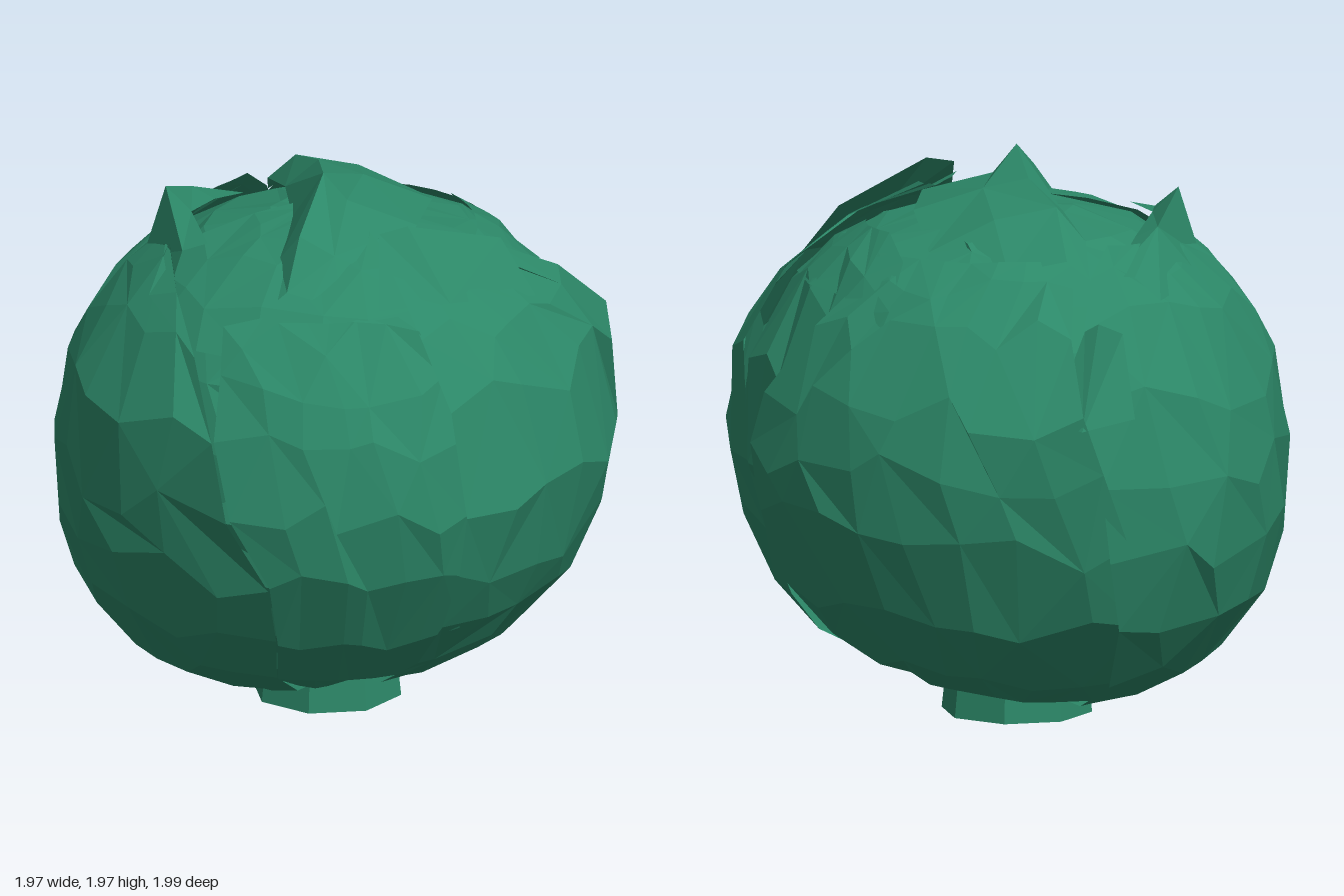
import * as THREE from 'three';

const material = new THREE.MeshStandardMaterial({ color: 0x2c8868, flatShading: true, side: THREE.DoubleSide });

// repeatable bumpiness
let seed = 7;
const rand = () => (seed = (seed * 16807) % 2147483647) / 2147483647;

// point on the lopsided head; azimuth runs from +z towards +x, both angles in degrees
function headPoint(azimuth, elevation, lift) {
  const a = azimuth * Math.PI / 180, e = elevation * Math.PI / 180;
  const s = Math.sin(e), c = Math.cos(e);
  const flat = (s < 0 ? 0.14 : 0.07) * Math.pow(Math.abs(s), 6);
  const tuck = 0.13 * (Math.cos(a - 1.22) + 0.25) * Math.max(0, -s) * c; // underside pulled in on the left
  const bulge = 0.04 * Math.max(0, -Math.cos(a - Math.PI / 4)) ** 4 * c * c; // fuller back right
  const r = 0.962 - flat - tuck + bulge - 0.015 * Math.cos(a) * c + lift;
  return new THREE.Vector3(r * c * Math.sin(a), 0.93 + r * s, r * c * Math.cos(a));
}

// skin a grid of points, rows running upwards and columns running towards +azimuth
function sheet(name, rows) {
  const cols = rows[0].length, index = [];
  for (let i = 0; i < rows.length - 1; i++) {
    for (let j = 0; j < cols - 1; j++) {
      const a = i * cols + j, b = a + 1, c = a + cols, d = c + 1;
      if ((i + j) % 2) index.push(a, b, d, a, d, c);
      else index.push(a, b, c, b, d, c);
    }
  }
  const geometry = new THREE.BufferGeometry().setFromPoints(rows.flat());
  geometry.setIndex(index);
  geometry.computeVertexNormals();
  const mesh = new THREE.Mesh(geometry, material);
  mesh.name = name;
  return mesh;
}

// wrapped leaf; each row is [elevation, azimuth start, azimuth end, start lift, end lift]
function leaf(name, rows, base = 0, cols = 7) {
  return sheet(name, rows.map(([el, a0, a1, l0, l1], i) => {
    const row = [];
    for (let j = 0; j < cols; j++) {
      const u = j / (cols - 1), inner = j > 0 && j < cols - 1 && i > 0 && i < rows.length - 1;
      const lift = base + l0 * (1 - u) ** 3 + l1 * u ** 3 + rand() * 0.014;
      const slide = inner ? (rand() - 0.5) * 7 : 0, rise = inner ? (rand() - 0.5) * 10 : 0;
      row.push(headPoint(a0 + (a1 - a0) * u + slide, el + rise, lift));
    }
    return row;
  }));
}

const points = (list) => list.map((p) => new THREE.Vector3(...p));

export function createModel() {
  const group = new THREE.Group();

  // tight inner head
  const core = [];
  for (let i = 0; i <= 12; i++) {
    const row = [];
    for (let j = 0; j < 18; j++) {
      row.push(headPoint(j * 20 + (i % 2) * 10, -90 + i * 15, -0.035 + (i % 12 ? rand() * 0.02 : 0)));
    }
    row.push(row[0].clone());
    core.push(row);
  }
  group.add(sheet('innerHead', core));

  // large outer leaves
  group.add(leaf('frontLeaf', [
    [-80, -10, 50, 0, 0], [-65, -6, 52, 0, 0], [-48, -5, 50, 0, 0], [-30, 0, 48, 0.01, 0],
    [-13, 0, 45, 0.01, 0], [2, -8, 43, 0.01, 0], [18, -13, 43, 0.01, 0], [32, -15, 42, 0.01, 0],
    [42, -18, 38, 0.02, 0.02], [46, -8, 33, 0, 0.02]]));
  group.add(leaf('leftLeaf', [
    [-80, 40, 108, 0, 0], [-62, 38, 110, 0, 0], [-42, 40, 116, 0, 0.01], [-28, 42, 127, 0, 0.02],
    [-12, 42, 128, 0.01, 0.02], [2, 42, 126, 0.01, 0.02], [24, 41, 119, 0.01, 0.09],
    [40, 38, 106, 0.01, 0.04], [54, 36, 90, 0.02, 0.02], [66, 36, 62, 0.05, 0.03]], 0.01, 8));
  group.add(leaf('rightLeaf', [
    [-80, -130, -5, 0, 0], [-62, -137, -4, 0.01, 0], [-45, -142, -4, 0.01, 0], [-28, -146, 0, 0.01, 0.01],
    [-13, -150, 0, 0.01, 0.02], [2, -152, -8, 0.01, 0.04], [18, -155, -11, 0, 0.1],
    [34, -152, -22, 0, 0.03], [46, -146, -40, 0.01, 0.02], [53, -136, -62, 0.03, 0.02]], 0.006, 12));
  group.add(leaf('backLeaf', [
    [-80, 100, 235, 0, 0], [-62, 105, 230, 0, 0], [-45, 112, 225, 0, 0], [-28, 120, 220, 0, 0],
    [-10, 122, 214, 0, 0], [5, 123, 208, 0, 0.03], [16, 126, 204, 0, 0.07],
    [32, 136, 204, 0.01, 0.03], [44, 142, 208, 0, 0], [52, 140, 214, 0, 0]], 0.002, 9));
  group.add(leaf('backLeftLeaf', [
    [0, 112, 150, -0.02, -0.02], [20, 108, 154, 0, 0], [38, 100, 157, 0, 0],
    [50, 92, 154, 0, 0.02], [58, 96, 135, 0, 0.02]], -0.006, 6));

  // inner leaves closing over the top
  group.add(leaf('crownBackLeaf', [
    [40, 100, 215, 0, 0], [52, 98, 215, 0, 0], [63, 95, 215, 0, 0.01], [74, 92, 218, 0, 0.01],
    [83, 90, 220, 0, 0]], -0.014, 7));
  group.add(leaf('crownFrontLeaf', [
    [36, -60, 45, 0, 0], [48, -62, 45, 0, 0], [60, -66, 42, 0, 0.01], [72, -70, 40, 0, 0.01],
    [82, -80, 40, 0, 0]], -0.01, 7));

  // raised ridge where the crown leaf folds over
  group.add(sheet('crownRidge', [
    points([[-0.1, 1.62, 0.6], [-0.1, 1.74, 0.4], [-0.12, 1.8, 0.12], [-0.22, 1.8, -0.17], [-0.34, 1.74, -0.4], [-0.38, 1.64, -0.56]]),
    points([[-0.03, 1.68, 0.56], [-0.02, 1.84, 0.42], [-0.01, 1.97, 0.12], [-0.1, 1.91, -0.17], [-0.23, 1.85, -0.36], [-0.3, 1.7, -0.56]]),
    points([[0.06, 1.66, 0.56], [0.1, 1.77, 0.4], [0.07, 1.87, 0.1], [0.06, 1.87, -0.17], [-0.02, 1.81, -0.42], [-0.1, 1.66, -0.6]]),
    points([[0.18, 1.6, 0.58], [0.28, 1.7, 0.38], [0.32, 1.8, 0.1], [0.3, 1.79, -0.2], [0.2, 1.7, -0.48], [0.05, 1.6, -0.66]])]));

  // curled tips on the leaf rims
  const tips = {
    rightLeafTip: [
      [[-0.48, 1.62, 0.42], [-0.66, 1.6, 0.1], [-0.7, 1.58, -0.15], [-0.62, 1.56, -0.5]],
      [[-0.46, 1.72, 0.34], [-0.59, 1.85, 0.06], [-0.56, 1.76, -0.2], [-0.53, 1.64, -0.5]],
      [[-0.38, 1.74, 0.3], [-0.5, 1.76, 0.05], [-0.48, 1.72, -0.2], [-0.45, 1.64, -0.5]]],
    leftLeafTip: [
      [[0.3, 1.64, 0.56], [0.52, 1.64, 0.42], [0.74, 1.57, 0.08]],
      [[0.25, 1.85, 0.36], [0.34, 1.87, 0.31], [0.6, 1.75, 0.02]]],
    backLeafTip: [
      [[-0.3, 1.2, -0.91], [-0.42, 1.18, -0.96], [-0.58, 1.2, -0.8]],
      [[-0.4, 1.5, -0.78], [-0.45, 1.53, -0.79], [-0.52, 1.48, -0.7]]],
  };
  for (const [name, rows] of Object.entries(tips)) group.add(sheet(name, rows.map(points)));

  // cut stalk underneath
  const stalk = new THREE.Mesh(new THREE.CylinderGeometry(0.25, 0.265, 0.14, 8), material);
  stalk.name = 'stalk';
  stalk.position.set(-0.04, 0.07, -0.055);
  group.add(stalk);

  return group;
}
